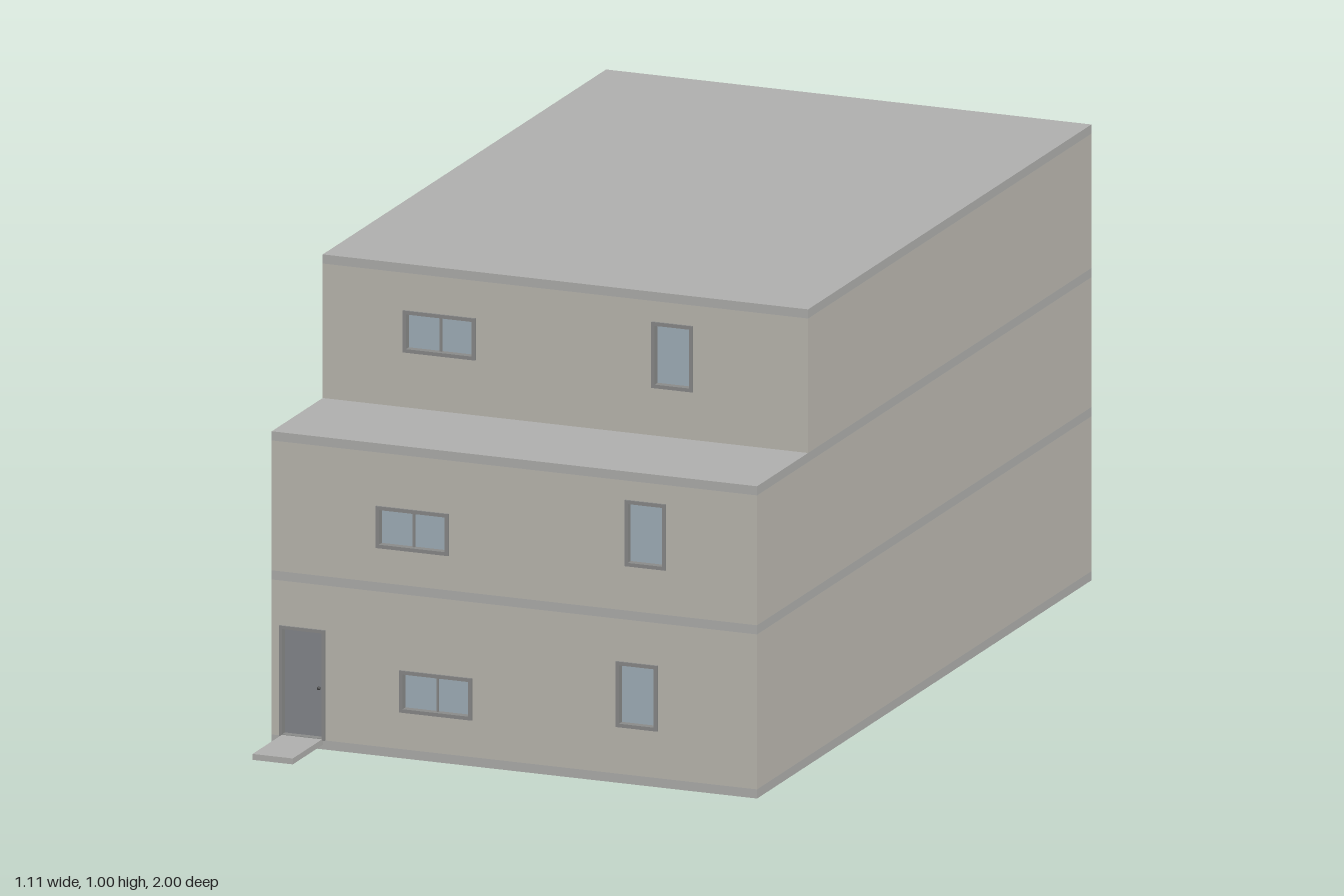
import * as THREE from 'three';

const mat = (color) => new THREE.MeshStandardMaterial({ color });
const wallMat = mat(0xbdbab2), slabMat = mat(0xb0b0ae), frameMat = mat(0x8a8b8a);
const glassMat = mat(0xa3b1bb), doorMat = mat(0x85888d), handleMat = mat(0x444444);

const HALF = 0.555, BACK = -1, FRONT = 0.835, UPPER_FRONT = 0.555;
const SKIN = 0.03;   // front wall thickness
const RECESS = 0.012; // depth of glass behind the wall face

// Box given by its limits
function box(name, x0, x1, y0, y1, z0, z1, material) {
  const m = new THREE.Mesh(new THREE.BoxGeometry(x1 - x0, y1 - y0, z1 - z0), material);
  m.position.set((x0 + x1) / 2, (y0 + y1) / 2, (z0 + z1) / 2);
  m.name = name;
  return m;
}

function rect(Type, x0, x1, y0, y1) {
  return new Type([[x0, y0], [x1, y0], [x1, y1], [x0, y1]].map(([x, y]) => new THREE.Vector2(x, y)));
}

// Rectangular wall or frame with rectangular openings
function panel(name, outer, holes, z0, z1, material) {
  const shape = rect(THREE.Shape, ...outer);
  holes.forEach((h) => shape.holes.push(rect(THREE.Path, ...h)));
  const geo = new THREE.ExtrudeGeometry(shape, { depth: z1 - z0, bevelEnabled: false });
  const m = new THREE.Mesh(geo, material);
  m.position.z = z0;
  m.name = name;
  return m;
}

const inset = ([x0, x1, y0, y1], d) => [x0 + d, x1 - d, y0 + d, y1 - d];

// Framed opening with a recessed pane; wide ones get a centre mullion
function windowUnit(name, r, z) {
  const g = new THREE.Group();
  g.name = name;
  const inner = inset(r, 0.008);
  g.add(panel('windowFrame', r, [inner], z - RECESS, z + 0.004, frameMat));
  g.add(box('glass', ...inner, z - RECESS - 0.005, z - RECESS, glassMat));
  if (r[1] - r[0] > 0.12) {
    const c = (r[0] + r[1]) / 2;
    g.add(box('mullion', c - 0.002, c + 0.002, inner[2], inner[3], z - RECESS, z - 0.006, frameMat));
  }
  return g;
}

function doorUnit(r, z) {
  const g = new THREE.Group();
  g.name = 'frontDoor';
  const inner = [r[0] + 0.007, r[1] - 0.007, r[2] + 0.004, r[3] - 0.007];
  g.add(panel('doorFrame', r, [inner], z - RECESS, z + 0.004, frameMat));
  g.add(box('doorLeaf', ...inner, z - RECESS - 0.005, z - RECESS, doorMat));
  const knob = new THREE.Mesh(new THREE.SphereGeometry(0.004, 12, 8), handleMat);
  knob.position.set(inner[1] - 0.012, 0.13, z - RECESS + 0.003);
  knob.name = 'doorKnob';
  g.add(knob);
  return g;
}

export function createModel() {
  const model = new THREE.Group();
  model.name = 'terracedBuilding';
  const door = [-0.537, -0.432, 0.02, 0.262];

  const storeys = [
    { name: 'ground', y0: 0.02, y1: 0.36, z: FRONT, door,
      windows: [[-0.262, -0.096, 0.101, 0.193], [0.233, 0.328, 0.123, 0.267]] },
    { name: 'middle', y0: 0.38, y1: 0.665, z: FRONT,
      windows: [[-0.316, -0.15, 0.456, 0.548], [0.253, 0.347, 0.478, 0.623]] },
    { name: 'upper', y0: 0.685, y1: 0.98, z: UPPER_FRONT,
      windows: [[-0.371, -0.205, 0.806, 0.898], [0.198, 0.292, 0.79, 0.935]] },
  ];

  // Storeys: solid body, pierced front wall, windows and door
  for (const s of storeys) {
    const g = new THREE.Group();
    g.name = s.name + 'Storey';
    const holes = s.windows.map((w) => inset(w, 0.001));
    const outer = [-HALF, HALF, s.y0, s.y1];
    g.add(box('body', ...outer, BACK, s.z - SKIN, wallMat));
    if (s.door) {
      // Opening starts just above the slab so that the wall stays one piece
      holes.push([door[0] + 0.001, door[1] - 0.001, door[2] + 0.002, door[3] - 0.001]);
      g.add(doorUnit(s.door, s.z));
    }
    g.add(panel('frontWall', outer, holes, s.z - SKIN, s.z, wallMat));
    s.windows.forEach((w, i) => g.add(windowUnit(i ? 'tallWindow' : 'wideWindow', w, s.z)));
    model.add(g);
  }

  // Floor and roof slabs, flush with the walls
  [
    ['groundSlab', 0, 0.02, FRONT],
    ['firstFloorSlab', 0.36, 0.38, FRONT],
    ['terraceSlab', 0.665, 0.685, FRONT],
    ['roofSlab', 0.98, 1, UPPER_FRONT],
  ].forEach(([name, y0, y1, z]) => model.add(box(name, -HALF, HALF, y0, y1, BACK, z, slabMat)));

  // Doorstep in front of the door
  model.add(box('doorstep', -0.53, -0.438, 0.01, 0.023, FRONT - 0.01, 1, slabMat));

  return model;
}
